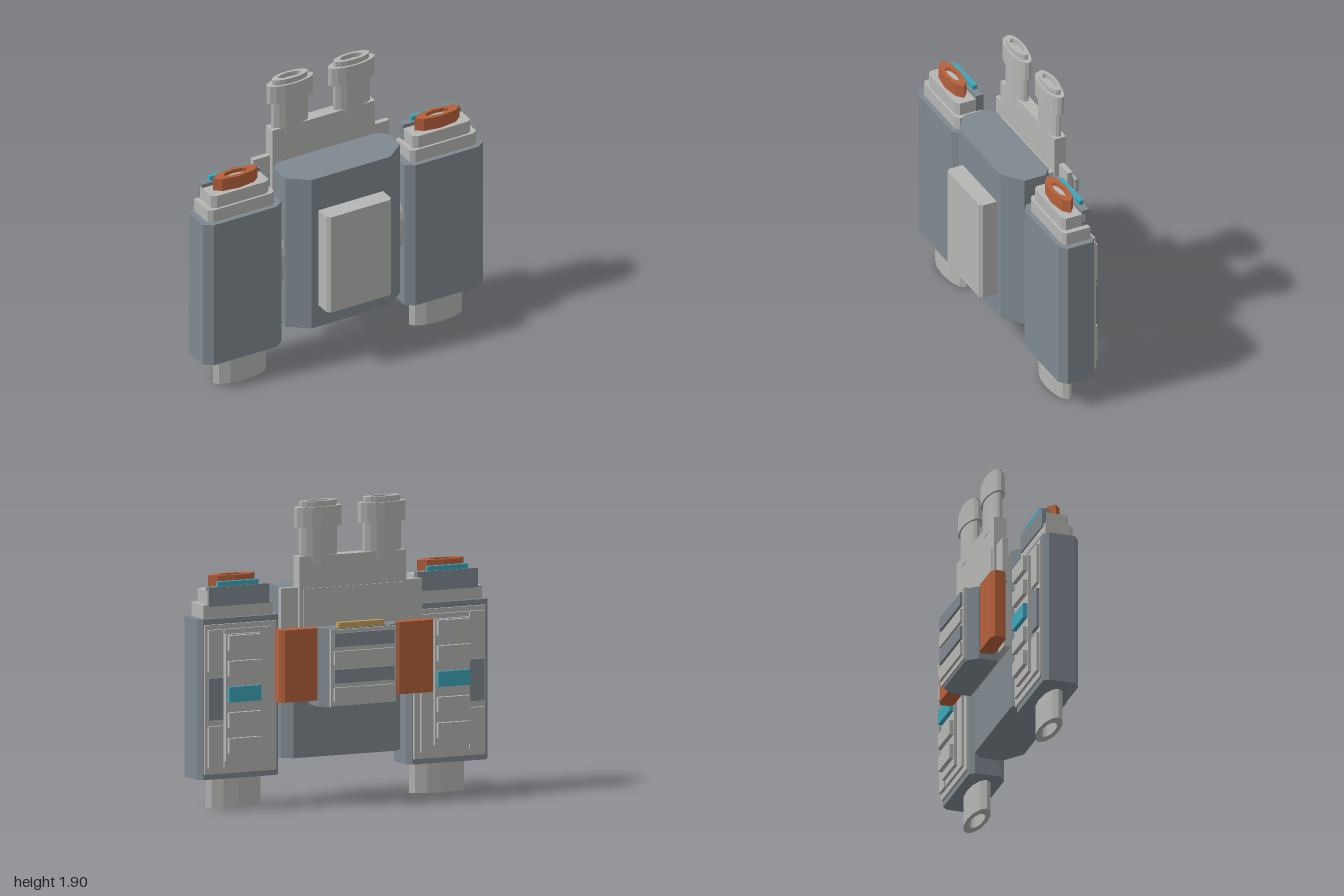
import * as THREE from 'three';

const material = (name, color) => {
  const m = new THREE.MeshStandardMaterial({ color });
  m.name = name;
  return m;
};

export function createModel() {
  const root = new THREE.Group();
  root.name = 'backpack';
  const light = material('light grey', 0xb6b6b4);
  const dark = material('slate grey', 0x7f8990);
  const orange = material('rust orange', 0xb5603b);
  const teal = material('teal', 0x3ea6ba);
  const gold = material('gold', 0xc7a05a);

  // Adds a mesh with faceted normals
  const add = (parent, name, geometry, mat) => {
    const g = geometry.index ? geometry.toNonIndexed() : geometry;
    g.computeVertexNormals();
    const mesh = new THREE.Mesh(g, mat);
    mesh.name = name;
    parent.add(mesh);
    return mesh;
  };

  // Upright block between two heights; front and back corners cut by [dx, dz]
  const block = (parent, name, mat, x0, x1, y0, y1, z0, z1, front = [0, 0], back = [0, 0]) => {
    const pts = [];
    const put = (x, z) => pts.push(new THREE.Vector2(x, -z));
    const corner = (a, b, cut) => { put(...a); if (cut[0]) put(...b); };
    corner([x0, z1 - front[1]], [x0 + front[0], z1], front);
    corner([x1 - front[0], z1], [x1, z1 - front[1]], front);
    corner([x1, z0 + back[1]], [x1 - back[0], z0], back);
    corner([x0 + back[0], z0], [x0, z0 + back[1]], back);
    const g = new THREE.ExtrudeGeometry(new THREE.Shape(pts), { depth: y1 - y0, bevelEnabled: false });
    g.rotateX(-Math.PI / 2);
    g.translate(0, y0, 0);
    return add(parent, name, g, mat);
  };

  // Flattened turned part: profile of [radius, y], squashed in z
  const turned = (parent, name, mat, profile, sides, squash, x, z) => {
    const g = new THREE.LatheGeometry(profile.map(([r, y]) => new THREE.Vector2(r, y)), sides);
    g.rotateY(Math.PI / 2);
    g.scale(1, 1, squash);
    g.translate(x, 0, z);
    return add(parent, name, g, mat);
  };

  // Core body and front panel
  block(root, 'core', dark, -0.41, 0.41, 0.29, 1.35, -0.065, 0.23, [0.13, 0.1], [0.06, 0.05]);
  block(root, 'frontPanel', light, -0.23, 0.23, 0.44, 1.12, 0.22, 0.345, [0.02, 0.02]);

  // Upper plate with side wings
  block(root, 'plateMount', light, -0.35, 0.35, 0.7, 1.31, -0.11, -0.05);
  block(root, 'upperPlate', light, -0.367, 0.367, 0.8, 1.56, -0.18, -0.1);
  block(root, 'plateWings', light, -0.485, 0.485, 1.08, 1.37, -0.165, -0.13);
  block(root, 'plateRear', light, -0.34, 0.34, 1.05, 1.36, -0.187, -0.17);

  // Rear box with slats and gold strip
  const rear = new THREE.Group();
  rear.name = 'rearBox';
  root.add(rear);
  block(rear, 'rearBody', dark, -0.27, 0.27, 0.63, 1.12, -0.315, -0.12, [0, 0], [0.06, 0.07]);
  block(rear, 'rearFrame', light, -0.225, 0.225, 0.64, 1.115, -0.33, -0.31);
  for (let i = 0; i < 4; i++) {
    const y = 0.67 + i * 0.113;
    block(rear, 'rearSlat', i % 2 ? dark : light, -0.205, 0.205, y, y + 0.085, -0.347, -0.325);
  }
  block(rear, 'goldStrip', gold, -0.158, 0.158, 1.11, 1.153, -0.305, -0.268);

  for (const s of [-1, 1]) {
    const side = new THREE.Group();
    side.name = s > 0 ? 'leftSide' : 'rightSide';
    root.add(side);
    // Mirrored block, given for the +x side
    const part = (name, mat, x0, x1, ...rest) =>
      block(side, name, mat, Math.min(s * x0, s * x1), Math.max(s * x0, s * x1), ...rest);

    // Top tube with collar and recessed mouth
    turned(side, 'topTube', light, [
      [0, 1.5], [0.132, 1.5], [0.132, 1.74], [0.165, 1.74], [0.165, 1.865],
      [0.128, 1.865], [0.128, 1.9], [0.08, 1.9], [0.08, 1.87], [0, 1.87],
    ], 16, 0.34, s * 0.22, -0.14);

    // Orange shoulder block beside the rear box
    part('orangeBlock', orange, 0.26, 0.53, 0.67, 1.12, -0.247, -0.15, [0.03, 0.02], [0.03, 0.02]);

    // Round joint between core and pod
    const joint = new THREE.CylinderGeometry(0.155, 0.155, 0.12, 16);
    joint.rotateZ(Math.PI / 2);
    joint.scale(1, 1, 0.36);
    joint.translate(s * 0.425, 0.745, 0.075);
    add(side, 'joint', joint, light);

    // Pod body and stepped cap
    part('pod', dark, 0.44, 1, 0.195, 1.195, -0.065, 0.172, [0.055, 0.04], [0.03, 0.03]);
    part('capLower', light, 0.485, 0.96, 1.19, 1.28, -0.045, 0.14, [0.03, 0.02]);
    part('capUpper', light, 0.515, 0.925, 1.27, 1.365, -0.03, 0.125, [0.03, 0.02]);
    part('capRear', dark, 0.51, 0.925, 1.27, 1.39, -0.055, -0.005);
    part('capStrip', teal, 0.582, 0.86, 1.38, 1.42, -0.048, -0.02);

    // Orange vent ring and its insert
    turned(side, 'vent', orange, [
      [0, 1.36], [0.16, 1.36], [0.16, 1.45], [0.085, 1.45], [0.085, 1.42],
    ], 8, 0.34, s * 0.72, 0.05);
    turned(side, 'ventInsert', light, [[0.09, 1.425], [0, 1.425]], 8, 0.34, s * 0.72, 0.05);

    // Nozzle below, with a lit recess
    turned(side, 'nozzle', light, [
      [0.11, 0.13], [0.11, 0], [0.19, 0], [0.19, 0.2],
    ], 12, 0.345, s * 0.7, 0.065);
    turned(side, 'nozzleCore', teal, [[0, 0.1], [0.112, 0.1]], 12, 0.345, s * 0.7, 0.065);

    // Rear plating of the pod
    part('backPlate', light, 0.475, 0.965, 0.23, 1.16, -0.08, -0.06);
    part('backPanel', light, 0.515, 0.84, 0.27, 1.13, -0.097, -0.075);
    part('backSpine', light, 0.6, 0.84, 0.31, 1.1, -0.118, -0.09);
    for (let i = 0; i < 3; i++) {
      const y = 0.27 + i * 0.3;
      part('sidePatch', i === 1 ? dark : light, 0.85, 0.95, y, y + 0.26, -0.1, -0.075);
    }
    for (let i = 0; i < 5; i++) {
      const y = 0.36 + i * 0.16;
      part('spineBlock', i === 2 ? teal : light, 0.61, 0.83, y, y + 0.095, -0.145, -0.11);
    }
  }
  return root;
}
